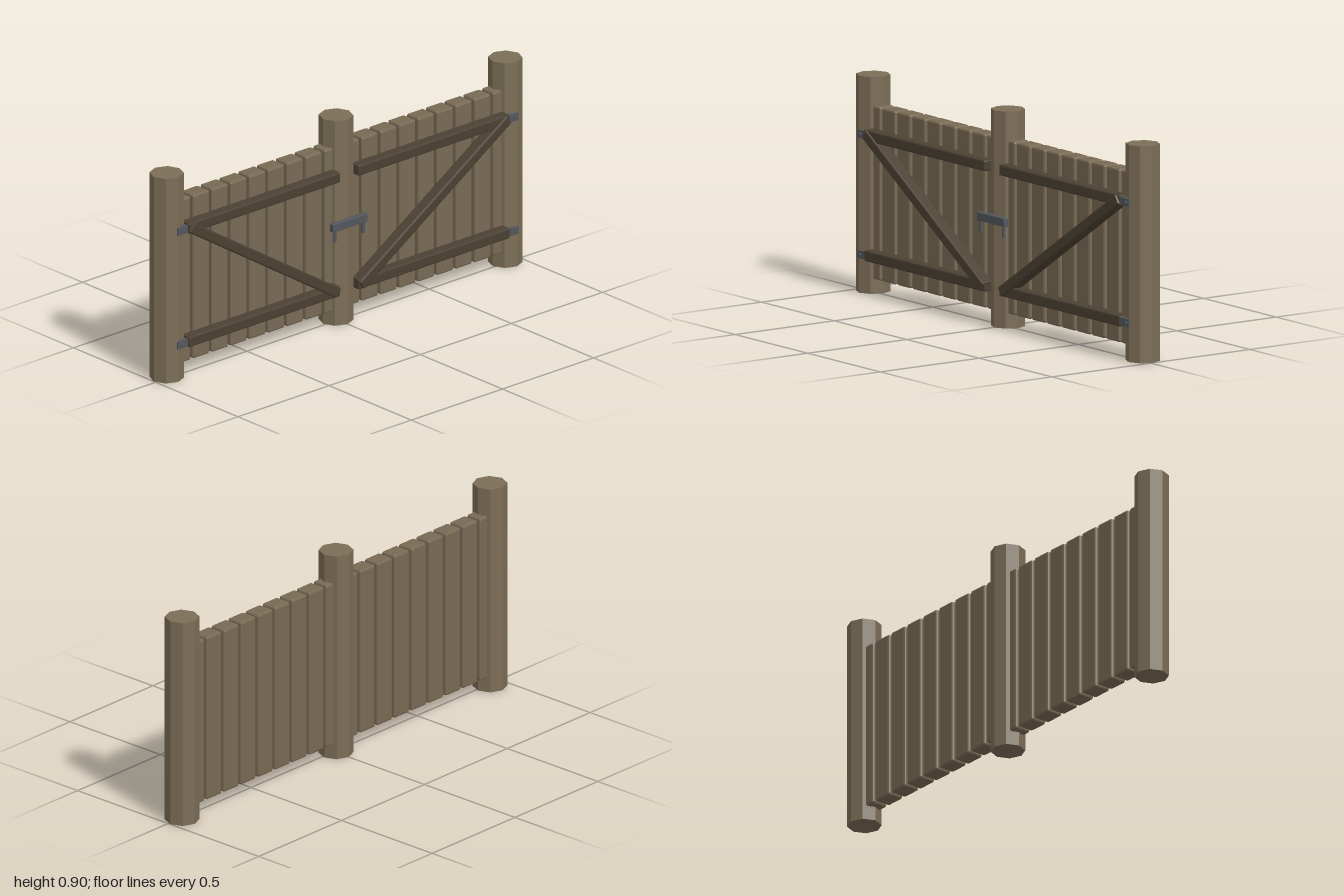
import * as THREE from 'three';
import { RoundedBoxGeometry } from 'three/addons/geometries/RoundedBoxGeometry.js';

const material = (name, color) => {
  const m = new THREE.MeshStandardMaterial({ color });
  m.name = name;
  return m;
};

export function createModel() {
  const gate = new THREE.Group();
  gate.name = 'doubleGate';
  const postWood = material('postWood', 0x7c6e57);
  const plankWood = material('plankWood', 0x786a54);
  const darkWood = material('darkWood', 0x4b4133);
  const iron = material('iron', 0x53575c);

  const add = (name, geometry, mat, x, y, z) => {
    const mesh = new THREE.Mesh(geometry, mat);
    mesh.name = name;
    mesh.position.set(x, y, z);
    gate.add(mesh);
    return mesh;
  };
  // box with faceted, bevelled edges
  const bevelBox = (w, h, d, bevel) => {
    const g = new RoundedBoxGeometry(w, h, d, 1, bevel);
    g.computeVertexNormals();
    return g;
  };
  const facetedCylinder = (r, h, sides) => {
    const g = new THREE.CylinderGeometry(r, r, h, sides).toNonIndexed();
    g.computeVertexNormals();
    return g;
  };

  // three octagonal posts
  const postGeometry = facetedCylinder(0.0707, 0.9, 8);
  for (const z of [-0.929, 0, 0.929]) add('post', postGeometry, postWood, -0.012, 0.45, z);

  const plankGeometry = bevelBox(0.074, 0.72, 0.09, 0.008);
  const railGeometry = bevelBox(0.05, 0.046, 0.83, 0.006);
  const rise = 0.505, run = 0.8;
  const braceGeometry = bevelBox(0.055, 0.044, Math.hypot(rise, run) + 0.012, 0.006);
  const plateGeometry = new THREE.BoxGeometry(0.024, 0.032, 0.075);
  const boltGeometry = facetedCylinder(0.008, 0.006, 6);
  boltGeometry.rotateZ(Math.PI / 2);

  // two mirrored gate leaves
  for (const s of [-1, 1]) {
    for (let i = 0; i < 9; i++) {
      add('plank', plankGeometry, plankWood, -0.011, 0.42, s * (0.051 + i * 0.103));
    }
    for (const y of [0.163, 0.663]) {
      add('rail', railGeometry, darkWood, 0.046, y, s * 0.465);
      // hinge plate reaching from rail to post
      add('hingePlate', plateGeometry, iron, 0.052, y - 0.002, s * 0.897);
      add('hingeBolt', boltGeometry, iron, 0.066, y - 0.002, s * 0.915);
    }
    const brace = add('brace', braceGeometry, darkWood, 0.052, 0.413, s * 0.467);
    brace.rotation.x = -s * Math.atan2(rise, run);
  }

  // latch bar across the middle post, with two hanging pegs
  add('latchBar', bevelBox(0.022, 0.036, 0.19, 0.003), iron, 0.066, 0.45, 0);
  const pegGeometry = facetedCylinder(0.0075, 0.06, 8);
  for (const z of [-0.078, 0.078]) add('latchPeg', pegGeometry, iron, 0.066, 0.415, z);

  return gate;
}
